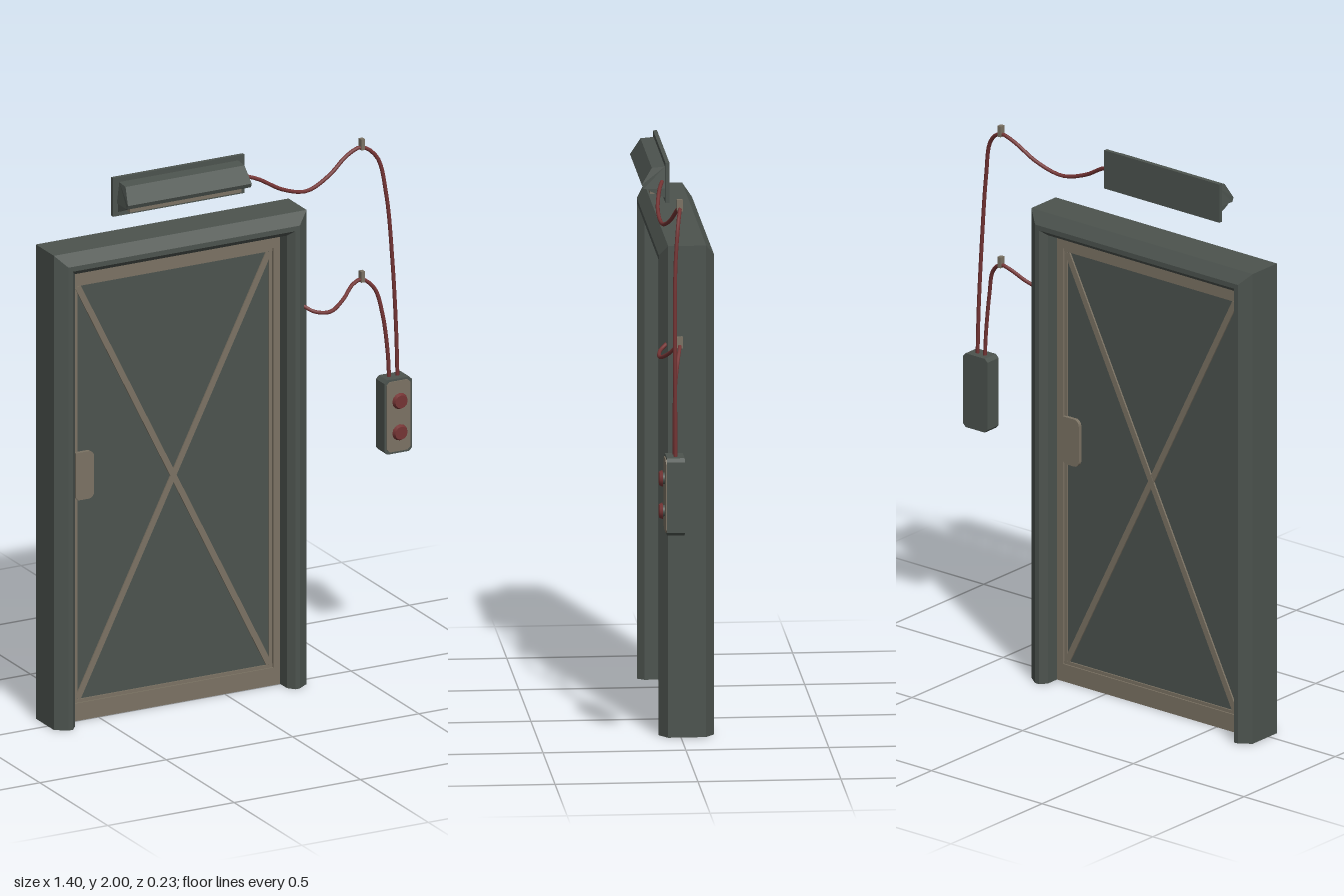
import * as THREE from 'three';

const mat = (name, color) => {
  const m = new THREE.MeshStandardMaterial({ color });
  m.name = name;
  return m;
};

export function createModel() {
  const steel = mat('dark green steel', 0x4c534e);
  const beige = mat('worn beige metal', 0x7b7263);
  const red = mat('dull red', 0x743434);
  const model = new THREE.Group();
  model.name = 'doorway';

  const add = (parent, name, geo, material, x = 0, y = 0, z = 0) => {
    const m = new THREE.Mesh(geo, material);
    m.name = name;
    m.position.set(x, y, z);
    parent.add(m);
    return m;
  };
  // box given by its limits
  const box = (parent, name, material, x0, x1, y0, y1, z0, z1) =>
    add(parent, name, new THREE.BoxGeometry(x1 - x0, y1 - y0, z1 - z0), material,
      (x0 + x1) / 2, (y0 + y1) / 2, (z0 + z1) / 2);
  // plate with cut corners, facing +z, back at z = 0
  const cutPlate = (w, h, c, depth) => {
    const a = w / 2, b = h / 2;
    const pts = [[-a + c, -b], [a - c, -b], [a, -b + c], [a, b - c],
      [a - c, b], [-a + c, b], [-a, b - c], [-a, -b + c]];
    return new THREE.ExtrudeGeometry(new THREE.Shape(pts.map(p => new THREE.Vector2(...p))),
      { depth, bevelEnabled: false });
  };

  // Door frame: bevelled section (inset, z) swept up, across and down with mitred corners
  const section = [[0, 0.045], [0.042, 0.074], [0.06, 0.074], [0.08, 0.05],
    [0.08, -0.095], [0.06, -0.119], [0.042, -0.119], [0, -0.088]];
  const stations = [
    u => [-0.7 + u, 0], u => [-0.7 + u, 1.757 - u],
    u => [0.3 - u, 1.757 - u], u => [0.3 - u, 0],
  ];
  const at = (s, i) => {
    const [u, z] = section[i % section.length];
    return [...stations[s](u), z];
  };
  const pos = [];
  for (let s = 0; s < 3; s++) {
    for (let i = 0; i < section.length; i++) {
      const a = at(s, i), b = at(s, i + 1), c = at(s + 1, i + 1), d = at(s + 1, i);
      pos.push(...a, ...b, ...c, ...a, ...c, ...d);
    }
  }
  for (let i = 1; i < section.length - 1; i++) {
    pos.push(...at(0, 0), ...at(0, i + 1), ...at(0, i));
    pos.push(...at(3, 0), ...at(3, i), ...at(3, i + 1));
  }
  const frameGeo = new THREE.BufferGeometry();
  frameGeo.setAttribute('position', new THREE.Float32BufferAttribute(pos, 3));
  frameGeo.computeVertexNormals();
  add(model, 'doorFrame', frameGeo, steel);

  // Door leaf, centred on its own axis
  const door = new THREE.Group();
  door.name = 'door';
  door.position.set(-0.2, 0, -0.022);
  model.add(door);
  const W = 0.42, H = 1.68, IN = 0.393, T = 0.022, y0 = 0.065, y1 = 1.62;
  box(door, 'panel', steel, -IN, IN, y0, y1, -0.012, 0.012);
  box(door, 'topRail', beige, -W, W, y1, H, -T, T);
  box(door, 'bottomRail', beige, -W, W, 0, y0, -T, T);
  for (const s of [-1, 1])
    add(door, 'stile', new THREE.BoxGeometry(W - IN, y1 - y0, 2 * T), beige, s * (W + IN) / 2, (y0 + y1) / 2);

  // Trim, cross braces and handle, repeated on the back by a half turn
  for (const turn of [0, Math.PI]) {
    const face = new THREE.Group();
    face.name = turn ? 'backFace' : 'frontFace';
    face.rotation.y = turn;
    door.add(face);
    for (const s of [-1, 1]) {
      add(face, 'sideTrim', new THREE.BoxGeometry(0.012, y1 - y0, 0.006), beige, s * (IN - 0.008), (y0 + y1) / 2, 0.014);
      const w = 2 * IN - 0.03, h = y1 - y0 - 0.03;
      const brace = add(face, 'brace', new THREE.BoxGeometry(0.022, Math.hypot(w, h), 0.008),
        beige, 0, (y0 + y1) / 2, 0.014 + s * 0.0005);
      brace.rotation.z = s * Math.atan2(w, h);
    }
    box(face, 'topTrim', beige, -IN, IN, y1 - 0.012, y1, 0.011, 0.017);
    box(face, 'bottomTrim', beige, -IN, IN, y0, y0 + 0.012, 0.011, 0.017);
    const r = 0.022, hw = 0.072, hh = 0.088;
    const hs = new THREE.Shape();
    hs.moveTo(0, -hh + 0.01);
    hs.lineTo(0.01, -hh);
    hs.lineTo(hw - r, -hh);
    hs.absarc(hw - r, -hh + r, r, -Math.PI / 2, 0);
    hs.absarc(hw - r, hh - r, r, 0, Math.PI / 2);
    hs.lineTo(0, hh);
    add(face, 'handlePlate', new THREE.ExtrudeGeometry(hs, { depth: 0.018, bevelEnabled: false, curveSegments: 5 }),
      beige, -IN + 0.002, 0.905, 0.008);
  }

  // Hooded lamp above the door
  const lamp = new THREE.Group();
  lamp.name = 'lamp';
  model.add(lamp);
  box(lamp, 'backPlate', steel, -0.46, 0.06, 1.857, 2, 0.02, 0.034);
  const hoodProfile = (pts, len) => {
    const g = new THREE.ExtrudeGeometry(new THREE.Shape(pts.map(([z, y]) => new THREE.Vector2(-z, y))),
      { depth: len, bevelEnabled: false });
    return g.rotateY(Math.PI / 2); // shape -x becomes +z, depth runs along +x
  };
  const hood = hoodProfile([[0.034, 1.982], [0.08, 1.978], [0.116, 1.92], [0.11, 1.905], [0.034, 1.905]], 0.49);
  // narrow the hood towards its top
  const hp = hood.attributes.position;
  for (let i = 0; i < hp.count; i++)
    if (hp.getY(i) > 1.95) hp.setX(i, 0.245 + (hp.getX(i) - 0.245) * 0.96);
  hood.computeVertexNormals();
  add(lamp, 'hood', hood, steel, -0.445);
  for (const x of [-0.44, 0.025])
    add(lamp, 'cheek', hoodProfile([[0.034, 1.907], [0.1, 1.907], [0.085, 1.895], [0.034, 1.872]], 0.015), steel, x);
  box(lamp, 'lightTube', beige, -0.42, 0.02, 1.882, 1.905, 0.036, 0.085);

  // Button box
  const control = new THREE.Group();
  control.name = 'buttonBox';
  control.position.set(0.643, 0.948, 0.02);
  model.add(control);
  add(control, 'housing', cutPlate(0.11, 0.276, 0.012, 0.062), steel);
  add(control, 'facePlate', cutPlate(0.094, 0.26, 0.012, 0.005), beige, 0, 0, 0.061);
  for (const y of [0.058, -0.058]) {
    const collar = add(control, 'buttonCollar', new THREE.CylinderGeometry(0.02, 0.02, 0.012, 12), steel, 0, y, 0.07);
    const button = add(control, 'button', new THREE.CylinderGeometry(0.024, 0.03, 0.012, 12), red, 0, y, 0.08);
    collar.rotation.x = button.rotation.x = Math.PI / 2;
  }

  // Cables, each hung from a wall clip
  const cables = {
    lampCable: [[0.04, 1.93, 0.045], [0.1, 1.91, 0.06], [0.19, 1.86, 0.072], [0.29, 1.835, 0.065],
      [0.39, 1.87, 0.045], [0.47, 1.925, 0.028], [0.53, 1.944, 0.024], [0.585, 1.9, 0.034],
      [0.615, 1.76, 0.046], [0.638, 1.5, 0.05], [0.652, 1.25, 0.05], [0.657, 1.08, 0.05]],
    doorCable: [[0.285, 1.405, 0.05], [0.315, 1.387, 0.075], [0.375, 1.378, 0.08], [0.44, 1.405, 0.055],
      [0.49, 1.443, 0.03], [0.53, 1.454, 0.024], [0.575, 1.415, 0.034], [0.6, 1.32, 0.046],
      [0.618, 1.18, 0.05], [0.624, 1.08, 0.05]],
  };
  for (const [name, pts] of Object.entries(cables)) {
    const curve = new THREE.CatmullRomCurve3(pts.map(p => new THREE.Vector3(...p)));
    add(model, name, new THREE.TubeGeometry(curve, 60, 0.007, 8), red);
  }
  for (const y of [1.955, 1.465])
    box(model, 'cableClip', beige, 0.523, 0.538, y - 0.02, y + 0.02, 0.014, 0.034);

  return model;
}
